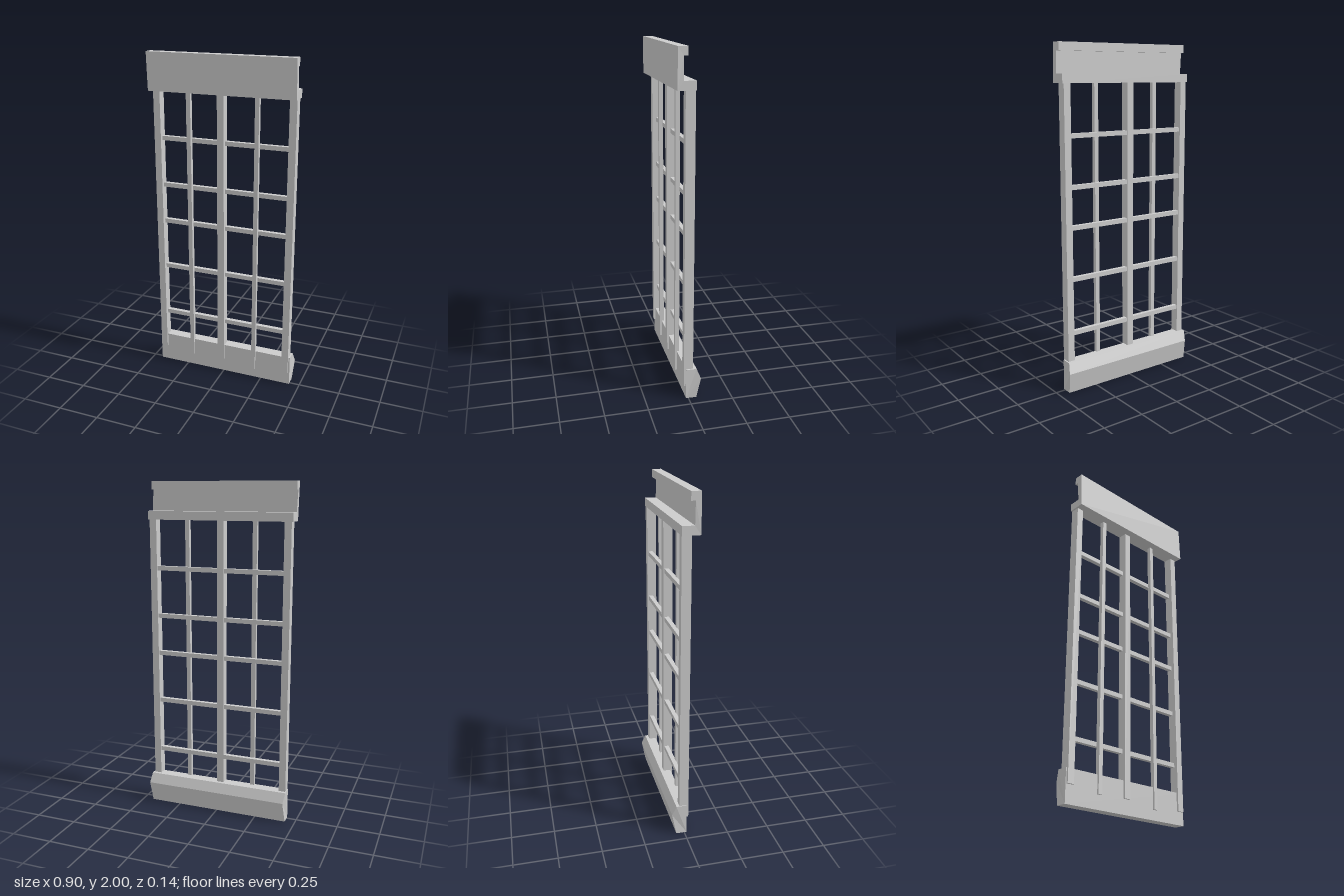
import * as THREE from 'three';

const material = new THREE.MeshStandardMaterial({ color: 0xcccccc, flatShading: true });

// Box given by its limits on each axis
function addBar(group, name, [x0, x1], [y0, y1], [z0, z1]) {
  const mesh = new THREE.Mesh(new THREE.BoxGeometry(x1 - x0, y1 - y0, z1 - z0), material);
  mesh.position.set((x0 + x1) / 2, (y0 + y1) / 2, (z0 + z1) / 2);
  mesh.name = name;
  group.add(mesh);
}

// Profile of [z, y] points swept along x; shift(z, y) slants the ends
function addMoulding(group, name, profile, x0, x1, shift) {
  const shape = new THREE.Shape(profile.map(([z, y]) => new THREE.Vector2(z, y)));
  const geometry = new THREE.ExtrudeGeometry(shape, { depth: x1 - x0, bevelEnabled: false });
  geometry.rotateY(-Math.PI / 2).translate(x1, 0, 0);
  const p = geometry.attributes.position;
  for (let i = 0; i < p.count; i++) p.setX(i, p.getX(i) + shift(p.getZ(i), p.getY(i)));
  geometry.computeVertexNormals();
  const mesh = new THREE.Mesh(geometry, material);
  mesh.name = name;
  group.add(mesh);
}

export function createModel() {
  const group = new THREE.Group();
  group.name = 'latticeWindow';

  // Stepped header with a lip on top and a shelf behind
  addMoulding(group, 'header', [
    [0.07, 1.78], [0.068, 2], [0.013, 2], [0.013, 1.953],
    [0.037, 1.953], [0.037, 1.83], [-0.03, 1.83], [-0.03, 1.78],
  ], -0.444, 0.437, (z, y) => (y > 1.9 ? -0.006 : 0));

  // Sill with a bulging back
  addMoulding(group, 'sill', [
    [0.014, 0], [0.014, 0.185], [-0.048, 0.185], [-0.072, 0.125], [-0.048, 0],
  ], -0.44, 0.437, (z) => (z < -0.06 ? 0.01 : 0));

  // Wide posts: left x, right x, bottom
  for (const [x0, x1, y0] of [[-0.435, -0.394, 0.103], [-0.038, 0.004, 0.086], [0.386, 0.428, 0.077]])
    addBar(group, 'post', [x0, x1], [y0, 1.79], [-0.029, 0.025]);

  // Narrow upright bars
  for (const [x0, x1, y0] of [[-0.228, -0.202, 0.08], [0.188, 0.213, 0.059]])
    addBar(group, 'uprightBar', [x0, x1], [y0, 1.79], [0, 0.025]);

  // Cross bars behind the uprights
  for (const y of [0.35, 0.673, 0.975, 1.207, 1.495])
    addBar(group, 'crossBar', [-0.4, 0.39], [y - 0.013, y + 0.013], [-0.023, 0.003]);

  return group;
}
